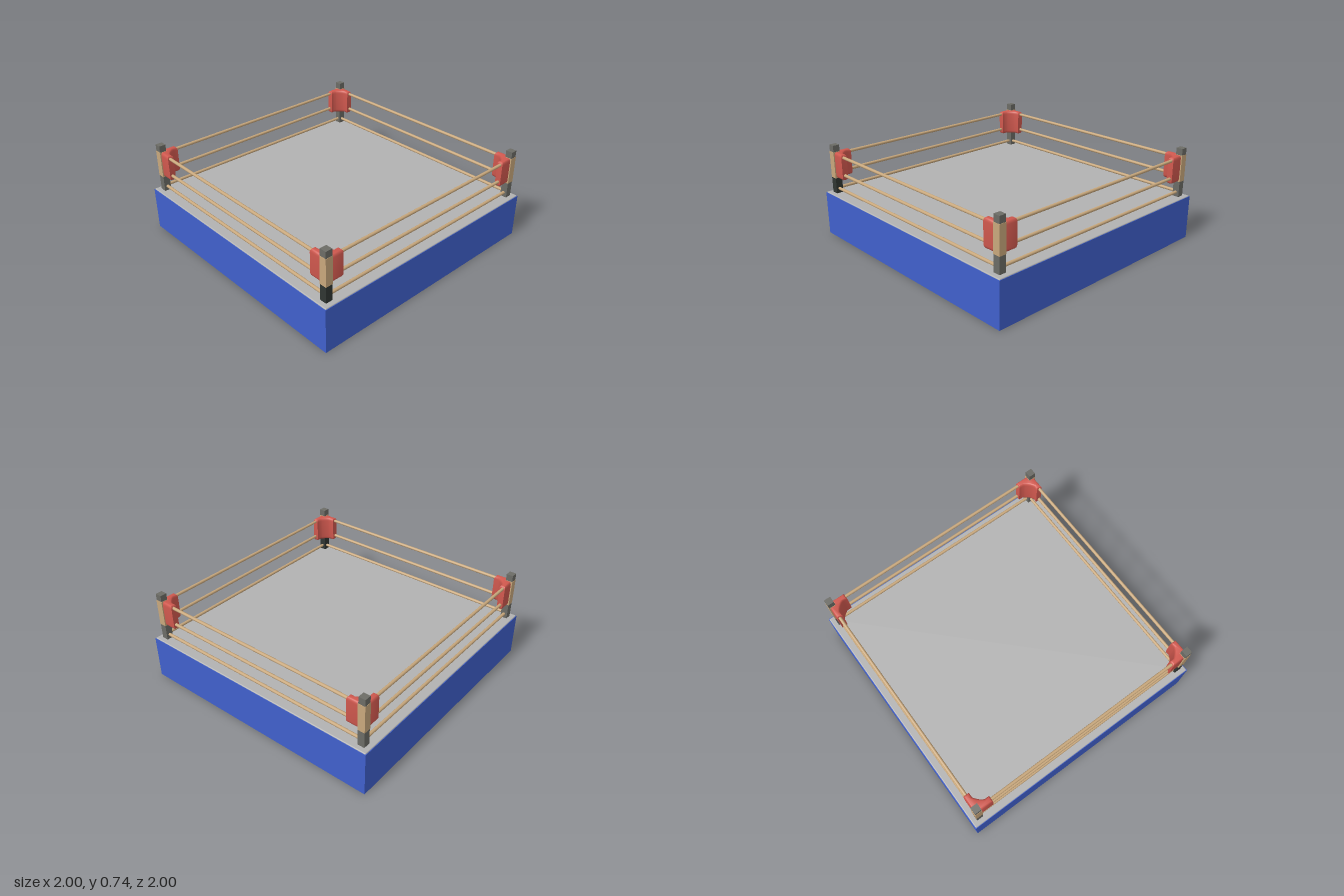
import * as THREE from 'three';
import { RoundedBoxGeometry } from 'three/addons/geometries/RoundedBoxGeometry.js';
import { toCreasedNormals } from 'three/addons/utils/BufferGeometryUtils.js';

const POST = 0.932; // post and rope distance from the centre

const paint = (color, side = THREE.FrontSide) => new THREE.MeshStandardMaterial({ color, side });

function add(parent, name, geometry, material, x = 0, y = 0, z = 0) {
  const mesh = new THREE.Mesh(geometry, material);
  mesh.name = name;
  mesh.position.set(x, y, z);
  parent.add(mesh);
  return mesh;
}

// L-shaped cushion that wraps the inner side of a post, with soft edges
function padGeometry() {
  const b = 0.014, end = 0.125, out = -0.02, inn = 0.026;
  const s = new THREE.Shape();
  s.moveTo(-end + b, out + b);
  s.lineTo(-0.01, out + b);
  s.lineTo(-out - b, 0.01);
  s.lineTo(-out - b, end - b);
  s.lineTo(-inn + b, end - b);
  s.lineTo(-inn + b, 0.085);
  s.bezierCurveTo(-inn, 0.055, -0.055, inn, -0.085, inn - b);
  s.lineTo(-end + b, inn - b);
  s.closePath();
  const height = 0.205;
  const g = new THREE.ExtrudeGeometry(s, {
    depth: height - 0.05, bevelEnabled: true, bevelThickness: 0.025,
    bevelSize: b, bevelSegments: 4, curveSegments: 10,
  });
  g.translate(0, 0, -(height - 0.05) / 2).rotateX(-Math.PI / 2);
  return toCreasedNormals(g, 0.8);
}

export function createModel() {
  const ring = new THREE.Group();
  ring.name = 'boxingRing';

  const blue = paint(0x4060cc, THREE.DoubleSide);
  const canvasGrey = paint(0xb2b2b2);
  const postGrey = paint(0x6c6c66);
  const postDark = paint(0x303632);
  const tan = paint(0xc9a87c);
  const red = paint(0xd0584e);

  // Floor slab; the platform is hollow underneath
  add(ring, 'canvas', new RoundedBoxGeometry(1.992, 0.016, 1.992, 3, 0.007), canvasGrey, 0, 0.342, 0);

  const apronGeometry = new THREE.BoxGeometry(2, 0.343, 0.008);
  const postGeometry = new THREE.BoxGeometry(0.053, 0.665, 0.053);
  const lowerPostGeometry = new THREE.BoxGeometry(0.055, 0.41, 0.055);
  const sleeveGeometry = new THREE.BoxGeometry(0.057, 0.21, 0.057);
  const ropeGeometry = new THREE.CylinderGeometry(0.012, 0.012, POST * 2, 10).rotateZ(Math.PI / 2);
  const cushion = padGeometry();

  // Each quarter holds one apron wall, one run of ropes and one corner
  for (let i = 0; i < 4; i++) {
    const quarter = new THREE.Group();
    quarter.name = 'ringSide' + (i + 1);
    quarter.rotation.y = i * Math.PI / 2;
    ring.add(quarter);

    add(quarter, 'apron', apronGeometry, blue, 0, 0.1715, 0.996);
    for (const y of [0.385, 0.515, 0.657]) add(quarter, 'rope', ropeGeometry, tan, 0, y, POST);

    add(quarter, 'post', postGeometry, postGrey, POST, 0.4025, POST);
    add(quarter, 'postSleeve', sleeveGeometry, tan, POST, 0.578, POST);
    add(quarter, 'cornerPad', cushion, red, POST, 0.578, POST);

    // The front right post has a dark lower half
    if (i === 3) add(quarter, 'lowerPost', lowerPostGeometry, postDark, POST, 0.272, POST);
  }
  return ring;
}
